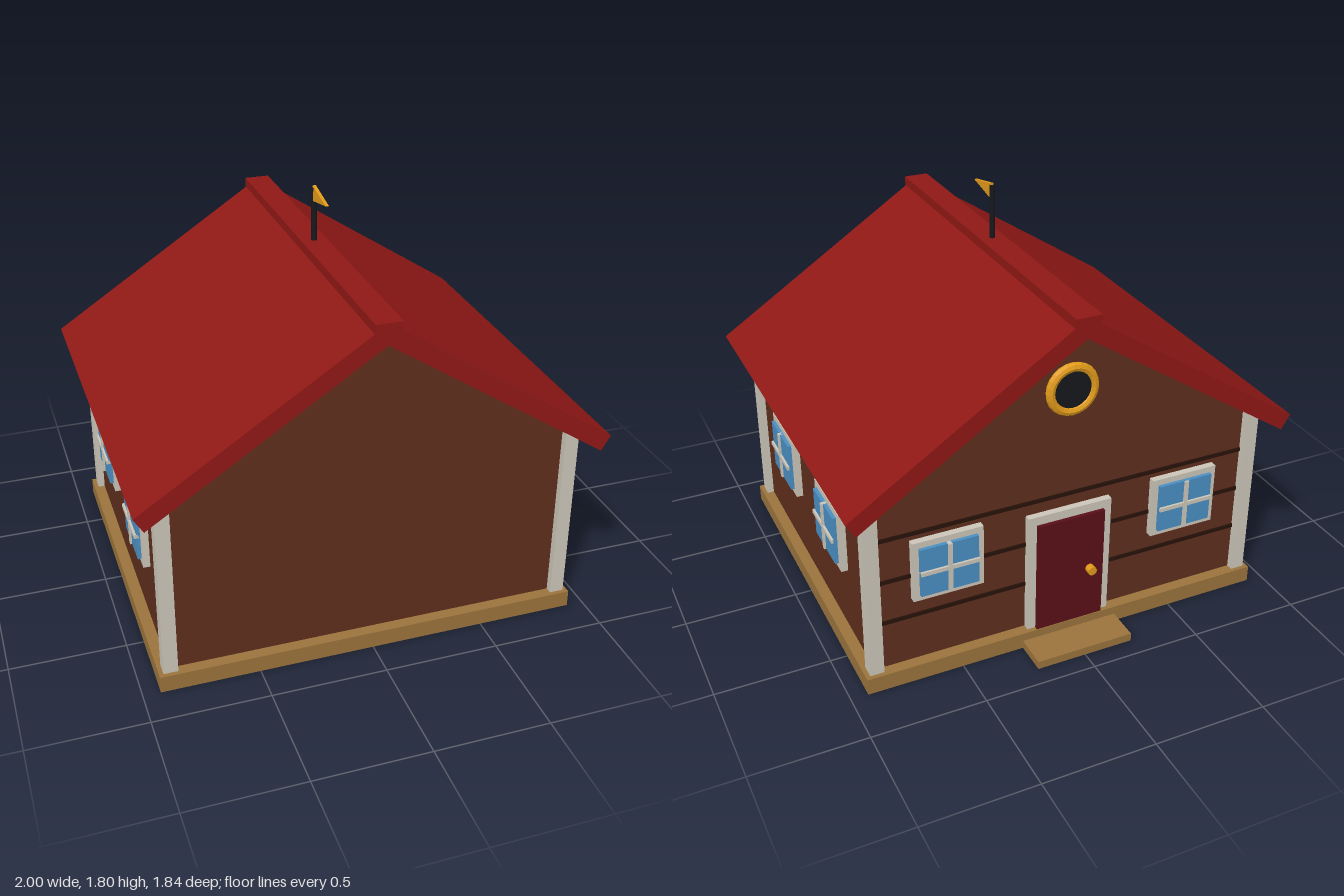
import * as THREE from 'three';

const CZ = 0.0375; // middle of the house in z
const WX = 0.875, WZ = 0.7525; // half sizes of the walls

const mat = (color) => new THREE.MeshStandardMaterial({ color, flatShading: true });
const M = {
  wall: mat(0x5e2e1c), roof: mat(0x8f1815), wood: mat(0x9a733c), trim: mat(0xcbc5b8),
  glass: mat(0x4a8fc2), door: mat(0x5a1018), dark: mat(0x15181c), gold: mat(0xe09a1a), seam: mat(0x28120a),
};

function add(parent, name, geometry, material, x = 0, y = 0, z = 0) {
  const mesh = new THREE.Mesh(geometry, material);
  mesh.name = name;
  mesh.position.set(x, y, z);
  parent.add(mesh);
  return mesh;
}

const box = (parent, name, material, w, h, d, x, y, z) =>
  add(parent, name, new THREE.BoxGeometry(w, h, d), material, x, y, z);

// Extrude an outline of [x, y] points along z, from z0 to z1
function prism(points, z0, z1) {
  const shape = new THREE.Shape(points.map(([x, y]) => new THREE.Vector2(x, y)));
  return new THREE.ExtrudeGeometry(shape, { depth: z1 - z0, bevelEnabled: false }).translate(0, 0, z0);
}

// Four-pane window; its local +z points away from the wall
function makeWindow() {
  const win = new THREE.Group();
  win.name = 'window';
  box(win, 'windowFrame', M.trim, 0.31, 0.282, 0.04, 0, 0, 0.01);
  box(win, 'windowGlass', M.glass, 0.255, 0.226, 0.04, 0, 0, 0.026);
  box(win, 'verticalBar', M.trim, 0.018, 0.226, 0.03, 0, 0, 0.04);
  box(win, 'horizontalBar', M.trim, 0.255, 0.018, 0.032, 0, 0, 0.04);
  return win;
}

export function createModel() {
  const house = new THREE.Group();
  house.name = 'cabin';

  // Base and doorstep
  box(house, 'base', M.wood, 1.85, 0.075, 1.605, 0, 0.0375, CZ);
  box(house, 'doorstep', M.wood, 0.445, 0.037, 0.17, 0, 0.0185, -0.83);

  // Walls with gables
  const outline = [[-WX, 0.07], [WX, 0.07], [WX, 0.9], [0, 1.475], [-WX, 0.9]];
  add(house, 'walls', prism(outline, CZ - WZ, CZ + WZ), M.wall);

  // Corner posts
  for (const sx of [-1, 1]) for (const sz of [-1, 1])
    box(house, 'cornerPost', M.trim, 0.062, 0.82, 0.062, sx * WX, 0.483, CZ + sz * WZ);

  // Roof slopes, mirrored, and the ridge cap
  for (const s of [-1, 1]) {
    const slope = [[0, 1.465], [s * 0.96, 0.835], [s, 0.9], [0, 1.555]];
    add(house, 'roofSlope', prism(slope, -0.838, 0.913), M.roof);
  }
  box(house, 'ridgeCap', M.roof, 0.112, 0.084, 1.765, 0, 1.518, CZ);

  // Side windows
  for (const s of [-1, 1]) for (const z of [-0.3125, 0.3125]) {
    const win = makeWindow();
    win.position.set(s * WX, 0.527, CZ + z);
    win.rotation.y = s * Math.PI / 2;
    house.add(win);
  }

  // Entrance wall, built facing local +z and turned to the back
  const entrance = new THREE.Group();
  entrance.name = 'entranceWall';
  entrance.position.z = CZ - WZ;
  entrance.rotation.y = Math.PI;
  house.add(entrance);
  for (const s of [-1, 1]) {
    const win = makeWindow();
    win.position.set(s * 0.55, 0.527, 0);
    entrance.add(win);
  }
  for (const y of [0.3, 0.5, 0.7])
    box(entrance, 'plankSeam', M.seam, 2 * WX - 0.06, 0.018, 0.012, 0, y, 0);

  // Door
  box(entrance, 'doorFrame', M.trim, 0.385, 0.565, 0.04, 0, 0.3575, 0.01);
  box(entrance, 'doorPanel', M.door, 0.31, 0.525, 0.04, 0, 0.3375, 0.027);
  add(entrance, 'doorKnob', new THREE.CylinderGeometry(0.02, 0.02, 0.035, 12).rotateX(Math.PI / 2),
    M.gold, 0.09, 0.325, 0.06);

  // Round gable window
  add(entrance, 'roundWindowRing', new THREE.TorusGeometry(0.098, 0.02, 8, 24), M.gold, 0, 1.195, 0.012);
  add(entrance, 'roundWindowPane', new THREE.CylinderGeometry(0.09, 0.09, 0.03, 24).rotateX(Math.PI / 2),
    M.dark, 0, 1.195, 0.005);

  // Flagpole and pennant
  add(house, 'flagpole', new THREE.CylinderGeometry(0.012, 0.012, 0.27, 10), M.dark, 0, 1.66, 0.033);
  const pennant = prism([[-0.035, 1.735], [-0.205, 1.768], [-0.035, 1.803]], -0.007, 0.007);
  add(house, 'pennant', pennant.rotateY(Math.PI / 2), M.gold);

  return house;
}
